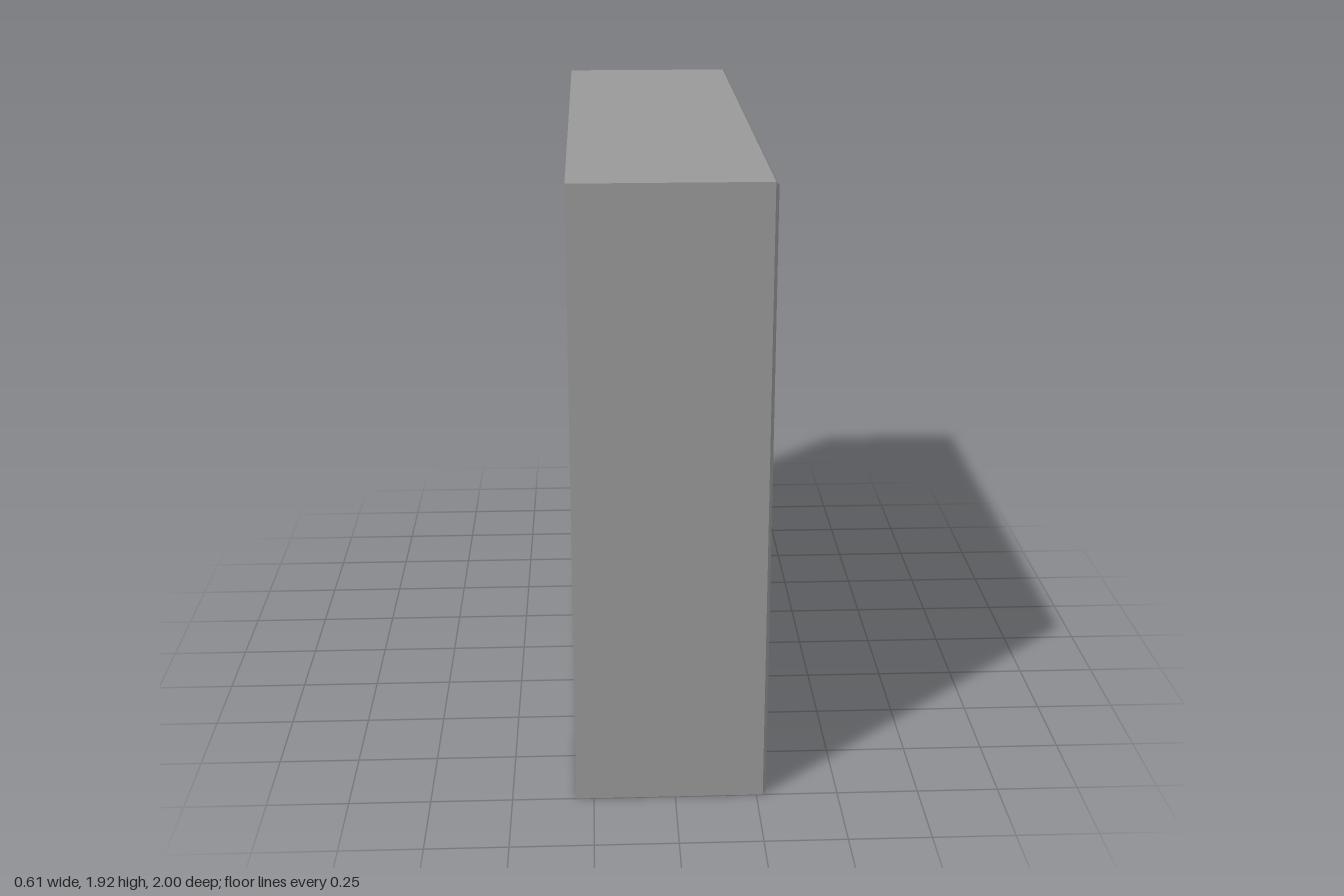
import * as THREE from 'three';

const HEIGHT = 1.92;
const BACK = -0.305;   // rear of the carcass
const PANEL = 0.235;   // plane of the recessed door panels
const FRONT = 0.28;    // face of the door frames
const BEVEL = 0.01;

function rectangle(Type, x0, x1, y0, y1) {
  const r = new Type();
  r.moveTo(x0, y0);
  r.lineTo(x1, y0);
  r.lineTo(x1, y1);
  r.lineTo(x0, y1);
  r.closePath();
  return r;
}

function box(name, material, x0, x1, y0, y1, z0, z1) {
  const mesh = new THREE.Mesh(new THREE.BoxGeometry(x1 - x0, y1 - y0, z1 - z0), material);
  mesh.position.set((x0 + x1) / 2, (y0 + y1) / 2, (z0 + z1) / 2);
  mesh.name = name;
  return mesh;
}

// Chamfered frame with three openings; its rear chamfer is buried in the carcass
function doorFrame(side, material) {
  const span = (a, b) => [Math.min(side * a, side * b), Math.max(side * a, side * b)];
  const shape = rectangle(THREE.Shape, ...span(0, 1), 0, HEIGHT);
  for (const [low, high] of [[0.053, 0.595], [0.637, 1.29], [1.332, 1.874]]) {
    shape.holes.push(rectangle(THREE.Path, ...span(0.082, 0.918), low, high));
  }
  const geometry = new THREE.ExtrudeGeometry(shape, {
    depth: FRONT - PANEL - BEVEL,
    bevelEnabled: true,
    bevelThickness: BEVEL,
    bevelSize: BEVEL,
    bevelOffset: -BEVEL,
    bevelSegments: 1,
  });
  geometry.rotateY(Math.PI / 2);
  geometry.translate(PANEL, 0, 0);
  const mesh = new THREE.Mesh(geometry, material);
  mesh.name = 'doorFrame';
  return mesh;
}

export function createModel() {
  const grey = new THREE.MeshStandardMaterial({ color: 0x999999 });
  grey.name = 'grey';

  const cabinet = new THREE.Group();
  cabinet.name = 'cabinet';

  // Carcass, whose front face forms the recessed panels
  cabinet.add(box('carcass', grey, BACK, PANEL, 0, HEIGHT, -1, 1));

  // Pair of doors with bar handles beside the centre joint
  for (const side of [-1, 1]) {
    const door = new THREE.Group();
    door.name = side < 0 ? 'leftDoor' : 'rightDoor';
    door.add(doorFrame(side, grey));
    const z = -side * 0.044;
    door.add(box('handle', grey, FRONT - 0.005, 0.305, 0.8, 1.13, z - 0.015, z + 0.015));
    cabinet.add(door);
  }
  return cabinet;
}
